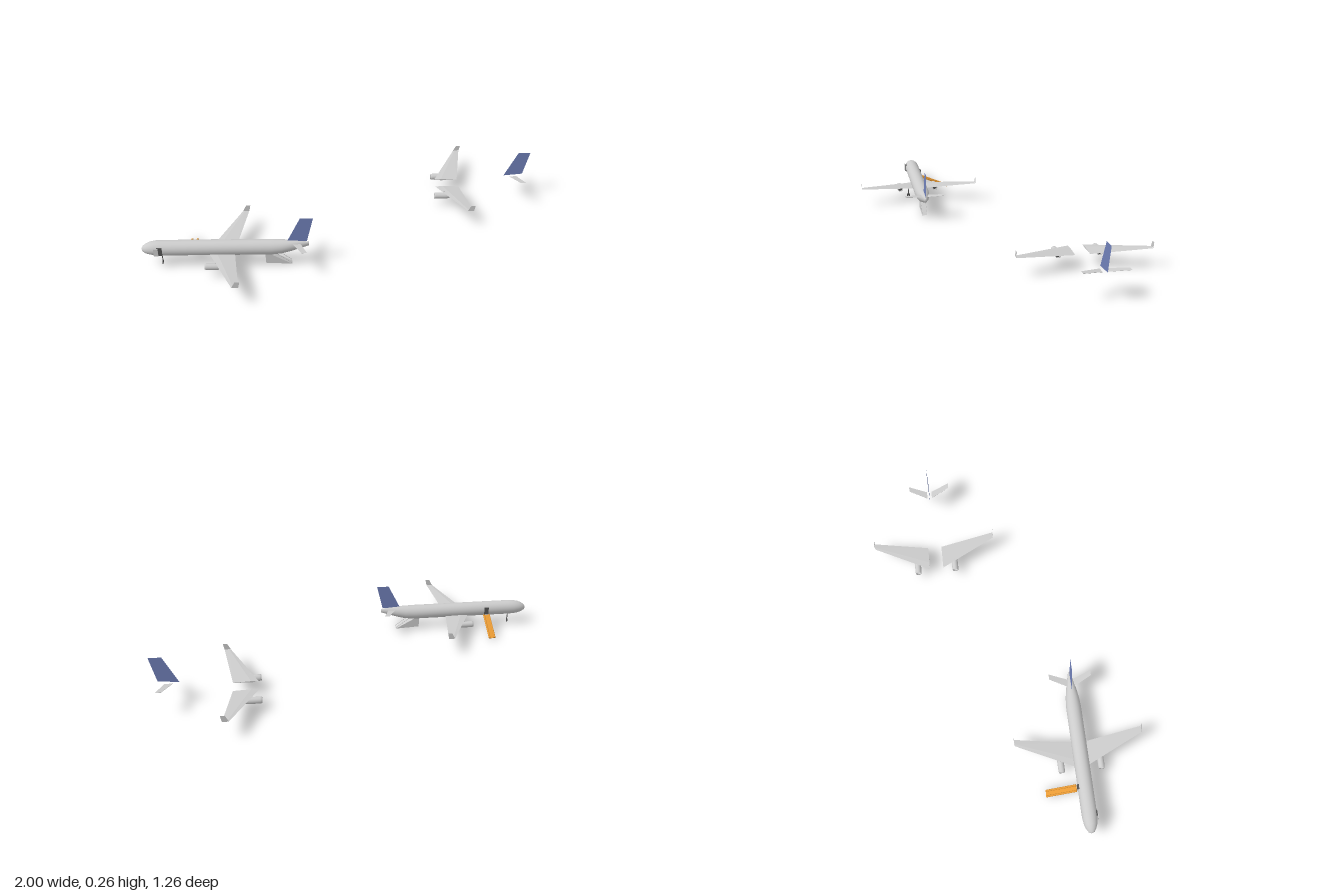
import * as THREE from 'three';

const CZ = 0.311; // centre line of the complete aircraft
const grey = new THREE.MeshStandardMaterial({ color: 0xcccccc, side: THREE.DoubleSide });
const paint = (color) => {
  const m = grey.clone();
  m.color.set(color);
  return m;
};
const blue = paint(0x7080b8), orange = paint(0xe89a35), dark = paint(0x555555);

function add(parent, name, geometry, material = grey, x = 0, y = 0, z = 0) {
  const mesh = new THREE.Mesh(geometry, material);
  mesh.name = name;
  mesh.position.set(x, y, z);
  parent.add(mesh);
  return mesh;
}

function group(parent, name) {
  const g = new THREE.Group();
  g.name = name;
  parent.add(g);
  return g;
}

// Skin over a row of equal-sized rings of [x, y, z] points, closed at both ends
function loft(rings, smooth = false) {
  const n = rings[0].length, index = [];
  for (let i = 0; i < rings.length - 1; i++) {
    for (let j = 0; j < n; j++) {
      const a = i * n + j, b = i * n + (j + 1) % n;
      index.push(a, b, a + n, b, b + n, a + n);
    }
  }
  const last = (rings.length - 1) * n;
  for (let j = 1; j < n - 1; j++) index.push(0, j + 1, j, last, last + j, last + j + 1);
  let g = new THREE.BufferGeometry();
  g.setAttribute('position', new THREE.Float32BufferAttribute(rings.flat(2), 3));
  g.setIndex(index);
  if (!smooth) g = g.toNonIndexed();
  g.computeVertexNormals();
  return g;
}

// Upright sheet in the side plane
function sheet(points) {
  return new THREE.ShapeGeometry(new THREE.Shape(points.map(([x, y]) => new THREE.Vector2(x, y))));
}

function addFuselage(parent) {
  // x, centre height, half height, half width
  const stations = [
    [-1, 0.094, 0.003, 0.003], [-0.995, 0.094, 0.014, 0.014], [-0.98, 0.095, 0.024, 0.024],
    [-0.96, 0.097, 0.032, 0.032], [-0.93, 0.098, 0.037, 0.037], [-0.9, 0.098, 0.038, 0.038],
    [-0.37, 0.098, 0.038, 0.038], [-0.32, 0.1, 0.035, 0.034], [-0.27, 0.106, 0.028, 0.025],
    [-0.22, 0.112, 0.018, 0.013], [-0.188, 0.115, 0.01, 0.005],
  ];
  const rings = stations.map(([x, y, ry, rz]) => Array.from({ length: 24 }, (_, i) => {
    const a = i / 24 * Math.PI * 2;
    return [x, y + ry * Math.cos(a), CZ + rz * Math.sin(a)];
  }));
  add(parent, 'fuselage', loft(rings, true));
}

function addWing(parent, side, rootZ) {
  const wing = group(parent, side > 0 ? 'leftWing' : 'rightWing');
  const section = (lead, trail, y, t, z) => [
    [lead, y, side * z], [lead + (trail - lead) * 0.3, y + t / 2, side * z],
    [trail, y, side * z], [lead + (trail - lead) * 0.3, y - t / 2, side * z],
  ];
  add(wing, 'wingPanel', loft([
    section(-0.672, -0.547, 0.074, 0.008, rootZ),
    section(-0.535, -0.503, 0.098, 0.003, 0.32),
  ]));
  add(wing, 'winglet', sheet([[-0.535, 0.098], [-0.503, 0.098], [-0.496, 0.13], [-0.518, 0.13]]), grey, 0, 0, side * 0.321);

  // Hollow nacelle with a dark core and a pylon above
  const engine = group(wing, 'engine');
  engine.position.set(-0.64, 0.056, side * 0.1);
  const profile = [[0.012, -0.043], [0.015, -0.045], [0.0165, -0.035], [0.0165, 0.015], [0.014, 0.038], [0.011, 0.038], [0.012, -0.043]];
  const nacelle = add(engine, 'nacelle', new THREE.LatheGeometry(profile.map(([r, h]) => new THREE.Vector2(r, h)), 18));
  const core = add(engine, 'engineCore', new THREE.CylinderGeometry(0.0115, 0.0125, 0.06, 18), dark);
  nacelle.rotation.z = core.rotation.z = -Math.PI / 2;
  add(engine, 'pylon', new THREE.BoxGeometry(0.06, 0.014, 0.004), grey, 0.035, 0.018, 0);
}

function addTail(parent) {
  const tail = group(parent, 'tail');
  add(tail, 'fin', sheet([[-0.298, 0.12], [-0.228, 0.26], [-0.165, 0.26], [-0.197, 0.13]]), blue);
  for (const side of [1, -1]) {
    const section = (a, b, y, z) => [[a, y, side * z], [b, y, side * z], [b, y - 0.001, side * z], [a, y - 0.001, side * z]];
    add(tail, side > 0 ? 'leftStabilizer' : 'rightStabilizer',
      loft([section(-0.268, -0.228, 0.121, 0.012), section(-0.221, -0.194, 0.135, 0.107)]));
  }
}

// Thin landing gear leg with twin wheels, facing along the fuselage
function addGear(parent, name, x, z) {
  const gear = group(parent, name);
  gear.position.set(x, 0, z);
  add(gear, 'strut', new THREE.BoxGeometry(0.003, 0.06, 0.004), dark, 0, 0.046, 0);
  add(gear, 'axle', new THREE.BoxGeometry(0.003, 0.003, 0.016), dark, 0, 0.016, 0);
  for (const s of [1, -1]) add(gear, 'wheel', new THREE.BoxGeometry(0.003, 0.02, 0.007), dark, 0, 0.016, s * 0.006);
}

function addSlide(parent) {
  // Inflated chute sloping from the right-hand doorway to the ground
  const slide = group(parent, 'escapeSlide');
  const dz = -0.148, dy = -0.063, length = Math.hypot(dz, dy);
  slide.position.set(-0.773, 0.046, 0.195);
  slide.rotation.x = -Math.atan2(dy, -dz) * -1;
  add(slide, 'slideFloor', new THREE.BoxGeometry(0.03, 0.004, length), orange, 0, -0.003, 0);
  for (const s of [1, -1]) {
    const rail = add(slide, 'slideTube', new THREE.CylinderGeometry(0.005, 0.005, length, 8), orange, s * 0.014, 0, 0);
    rail.rotation.x = Math.PI / 2;
  }
}

function addStairs(parent) {
  const stairs = group(parent, 'rearStairs');
  const side = [[-0.4, 0.068], [-0.375, 0.062], [-0.272, 0.004], [-0.4, 0.011]];
  add(stairs, 'stairBody', loft([0.013, -0.013].map((z) => side.map(([x, y]) => [x, y, CZ + z]))));
  // Sloping handrails
  for (const s of [1, -1]) {
    const rail = new THREE.LineCurve3(new THREE.Vector3(-0.342, 0.065, CZ + s * 0.013), new THREE.Vector3(-0.274, 0.012, CZ + s * 0.013));
    add(stairs, 'handrail', new THREE.TubeGeometry(rail, 1, 0.0012, 6));
  }
}

function addDoors(parent) {
  const doors = group(parent, 'doors');
  add(doors, 'frontDoorway', new THREE.BoxGeometry(0.026, 0.042, 0.012), dark, -0.908, 0.097, CZ + 0.0325);
  add(doors, 'frontDoor', new THREE.BoxGeometry(0.022, 0.042, 0.003), grey, -0.925, 0.097, CZ + 0.041);
  add(doors, 'slideDoorway', new THREE.BoxGeometry(0.024, 0.04, 0.012), dark, -0.773, 0.098, CZ - 0.0325);
}

export function createModel() {
  const model = new THREE.Group();
  model.name = 'airlinerKit';

  // Complete aircraft
  const plane = group(model, 'aircraft');
  addFuselage(plane);
  addGear(plane, 'noseGear', -0.905, CZ);
  addGear(plane, 'leftMainGear', -0.61, CZ + 0.053);
  addGear(plane, 'rightMainGear', -0.61, CZ - 0.053);
  addDoors(plane);
  addSlide(plane);
  addStairs(plane);

  // Wings and tail on the aircraft, and again as spare parts
  for (const [name, x, z, rootZ] of [['fittedSurfaces', 0, CZ, 0.02], ['spareSurfaces', 1.163, -CZ, 0.036]]) {
    const set = group(model, name);
    set.position.set(x, 0, z);
    addWing(set, 1, rootZ);
    addWing(set, -1, rootZ);
    addTail(set);
  }
  return model;
}
